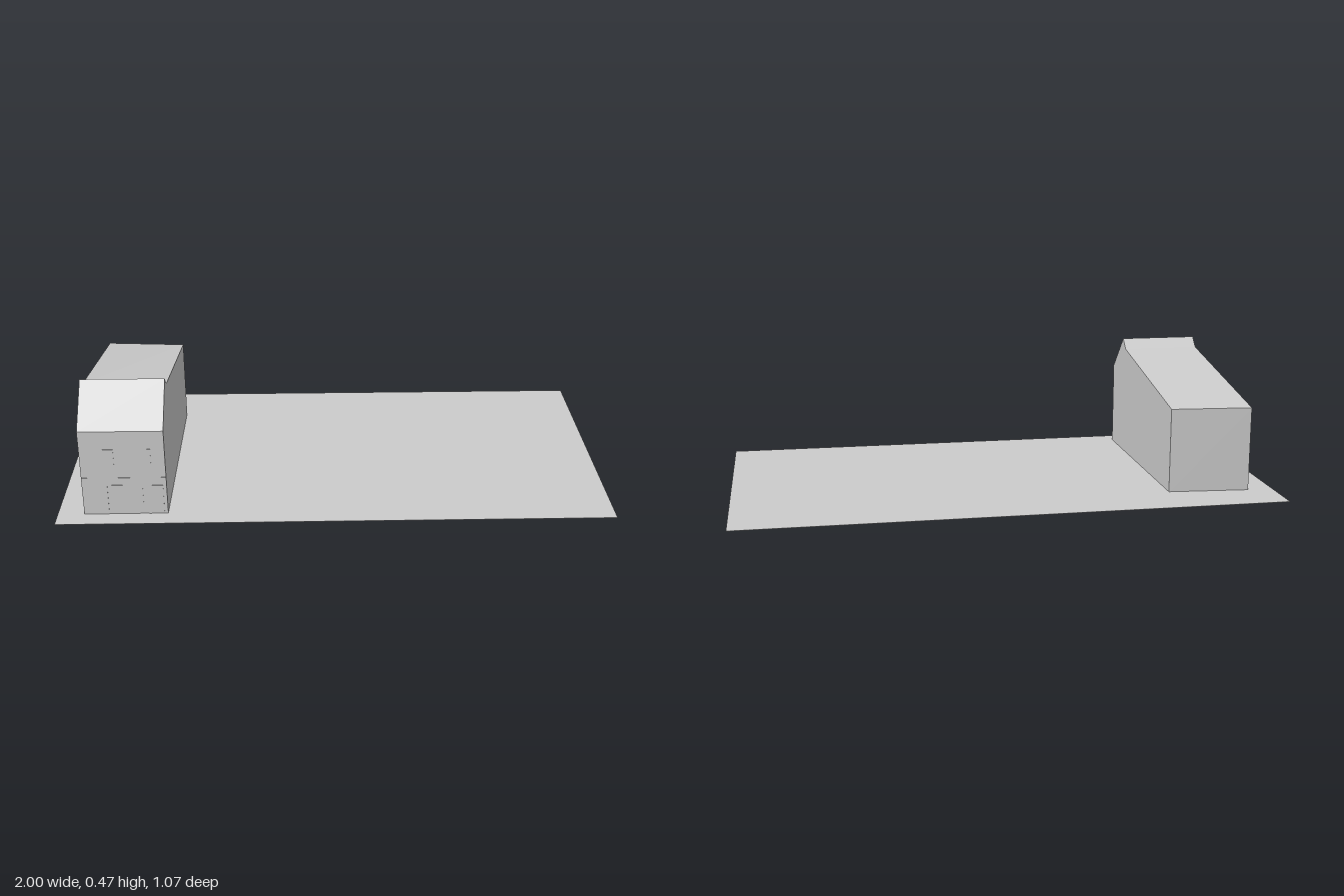
import * as THREE from 'three';

const LEFT_X = -0.605, RIGHT_X = -0.905; // side walls of the house
const FRONT_Z = 0.464;

export function createModel() {
  const group = new THREE.Group();
  const grey = new THREE.MeshStandardMaterial({ color: 0xcccccc });
  grey.name = 'pale grey';

  const add = (name, geometry, x = 0, y = 0, z = 0) => {
    const mesh = new THREE.Mesh(geometry, grey);
    mesh.name = name;
    mesh.position.set(x, y, z);
    group.add(mesh);
    return mesh;
  };

  // Flat plot of ground
  add('ground', new THREE.BoxGeometry(2, 0.001, 1.07), 0, 0.0005, 0);

  // House outline as [z, y], from the back foot round to the back eave
  const outline = (backZ) => [
    [backZ, 0], [FRONT_Z, 0], [FRONT_Z, 0.33], [0.325, 0.468], [0.285, 0.43], [backZ, 0.315],
  ];
  const leftOutline = outline(-0.342);
  const rightOutline = outline(-0.365);

  // Side walls; the right one has a small triangular gap under the roof valley
  const wall = (name, points, side, x) => {
    const shape = new THREE.Shape(points.map(([z, y]) => new THREE.Vector2(-side * z, y)));
    add(name, new THREE.ShapeGeometry(shape).rotateY(side * Math.PI / 2), x);
  };
  const notched = [...rightOutline];
  notched.splice(5, 0, [0.265, 0.325], [0.17, 0.33], [0.28, 0.429]);
  wall('leftWall', leftOutline, 1, LEFT_X);
  wall('rightWall', notched, -1, RIGHT_X);

  // Faces spanning the two side walls, one per outline edge
  const names = ['floor', 'frontWall', 'frontRoof', 'ridgeBack', 'longRoof', 'backWall'];
  names.forEach((name, i) => {
    const j = (i + 1) % names.length;
    const corner = (x, [z, y]) => [x, y, z];
    const a = corner(RIGHT_X, rightOutline[i]), b = corner(LEFT_X, leftOutline[i]);
    const c = corner(LEFT_X, leftOutline[j]), d = corner(RIGHT_X, rightOutline[j]);
    const geometry = new THREE.BufferGeometry();
    geometry.setAttribute('position',
      new THREE.Float32BufferAttribute([a, b, c, a, c, d].flat(), 3));
    geometry.computeVertexNormals();
    add(name, geometry);
  });

  // Thin panels on the front: [name, x centre, y centre, width, height]
  const panels = [
    ['door', -0.845, 0.058, 0.06, 0.115],
    ['sideDoor', -0.645, 0.058, 0.055, 0.115],
    ['shopWindow', -0.745, 0.08, 0.11, 0.075],
    ['upperWindowRight', -0.815, 0.225, 0.06, 0.07],
    ['upperWindowLeft', -0.685, 0.225, 0.06, 0.07],
    ['signBand', -0.755, 0.14, 0.296, 0.015],
  ];
  for (const [name, x, y, w, h] of panels) {
    add(name, new THREE.BoxGeometry(w, h, 0.002), x, y, FRONT_Z);
  }

  return group;
}
